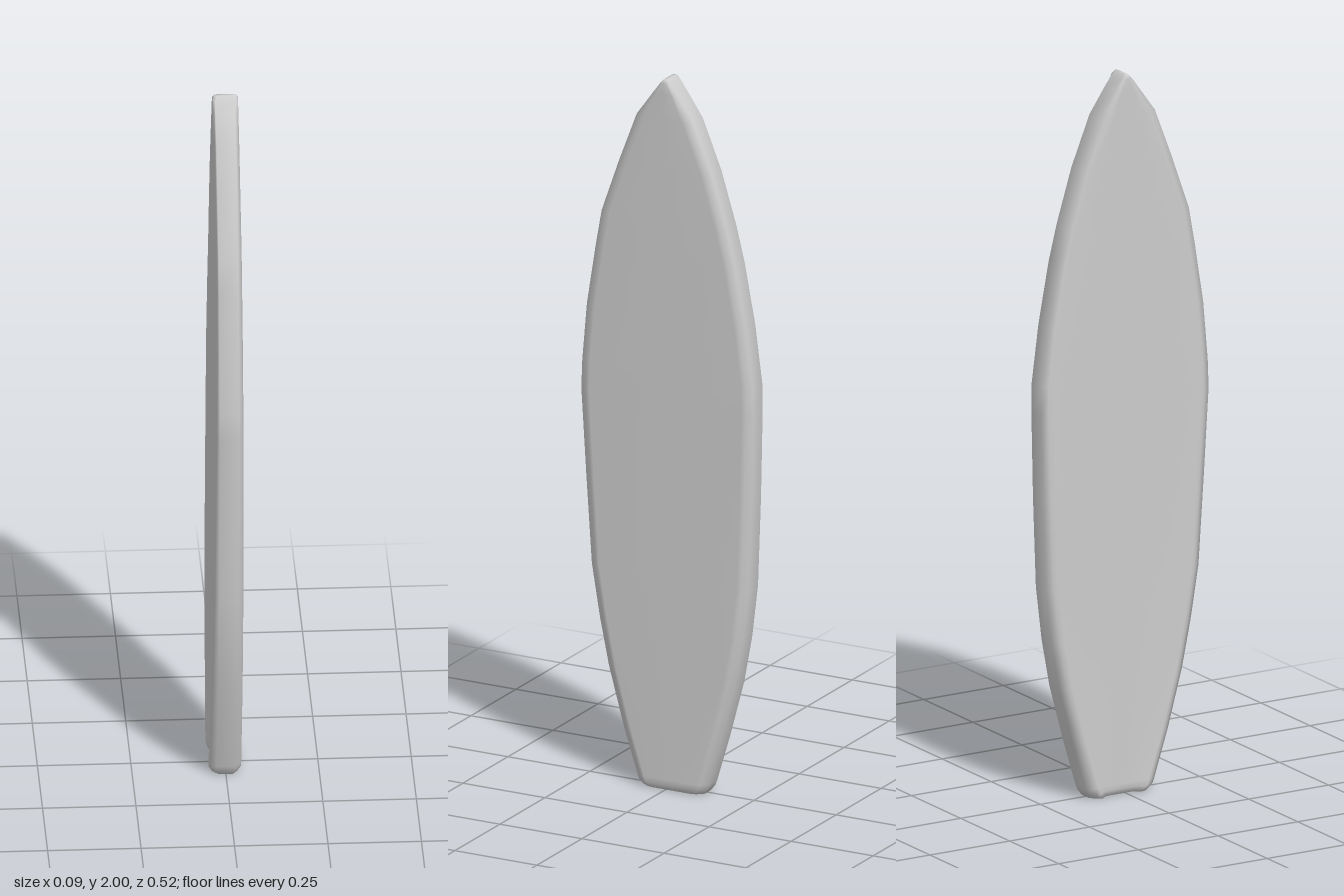
import * as THREE from 'three';

// Board stations from tail to nose: [height, back edge z, front edge z]
const STATIONS = [
  [0.015, -0.118, 0.086], [0.03, -0.124, 0.092], [0.16, -0.163, 0.134], [0.32, -0.206, 0.178],
  [0.45, -0.23, 0.205], [0.6, -0.248, 0.23], [0.85, -0.257, 0.247], [1.09, -0.262, 0.262],
  [1.17, -0.261, 0.259], [1.33, -0.24, 0.245], [1.5, -0.208, 0.218], [1.6, -0.183, 0.2],
  [1.75, -0.137, 0.147], [1.89, -0.08, 0.093], [1.96, -0.032, 0.042], [1.99, -0.01, 0.02],
];

// Closed outline of one slice; the hull side (-x) is hollowed towards the tail
function slice(y, back, front, inset = 0) {
  const width = front - back;
  const bevel = Math.min(0.03, width * 0.2);
  const deck = 0.042 - 0.006 * (y / 2) - inset;
  const channel = 0.013 * Math.max(0, 1 - y / 1.5);
  const hull = -0.033 + inset;
  const rail = hull - channel;
  const rim = 0.026 - inset;
  const z = (f) => back + width * f;
  return [
    [rim, back], [deck - 0.004, back + bevel * 0.6], [deck, back + bevel],
    [deck, z(0.5)],
    [deck, front - bevel], [deck - 0.004, front - bevel * 0.6], [rim, front],
    [-rim, front], [rail + 0.004, front - bevel * 0.6], [rail, front - bevel],
    [hull, z(0.73)], [hull, z(0.5)], [hull, z(0.25)],
    [rail, back + bevel], [rail + 0.004, back + bevel * 0.6], [-rim, back],
  ].map(([x, zz]) => new THREE.Vector3(x, y, zz));
}

// Skins a stack of slices and closes both ends with a fan
function loft(rings) {
  const n = rings[0].length;
  const points = rings.flat();
  const index = [];
  for (let r = 0; r < rings.length - 1; r++) {
    for (let i = 0; i < n; i++) {
      const a = r * n + i, b = r * n + (i + 1) % n;
      index.push(a, a + n, b, b, a + n, b + n);
    }
  }
  const last = rings.length - 1;
  for (const r of [0, last]) {
    const middle = rings[r].reduce((s, p) => s.add(p), new THREE.Vector3()).divideScalar(n);
    const c = points.push(middle) - 1;
    for (let i = 0; i < n; i++) {
      const a = r * n + i, b = r * n + (i + 1) % n;
      if (r === 0) index.push(c, a, b);
      else index.push(c, b, a);
    }
  }
  const geometry = new THREE.BufferGeometry().setFromPoints(points);
  geometry.setIndex(index);
  geometry.computeVertexNormals();
  return geometry;
}

export function createModel() {
  const group = new THREE.Group();
  group.name = 'surfboard';

  // Slightly inset end slices round off the tail and the nose
  const rings = [
    slice(0, -0.108, 0.076, 0.007),
    ...STATIONS.map((s) => slice(...s)),
    slice(2, 0, 0.01, 0.006),
  ];
  const board = new THREE.Mesh(loft(rings), new THREE.MeshStandardMaterial({ color: 0xcccccc }));
  board.name = 'board';
  group.add(board);
  return group;
}
